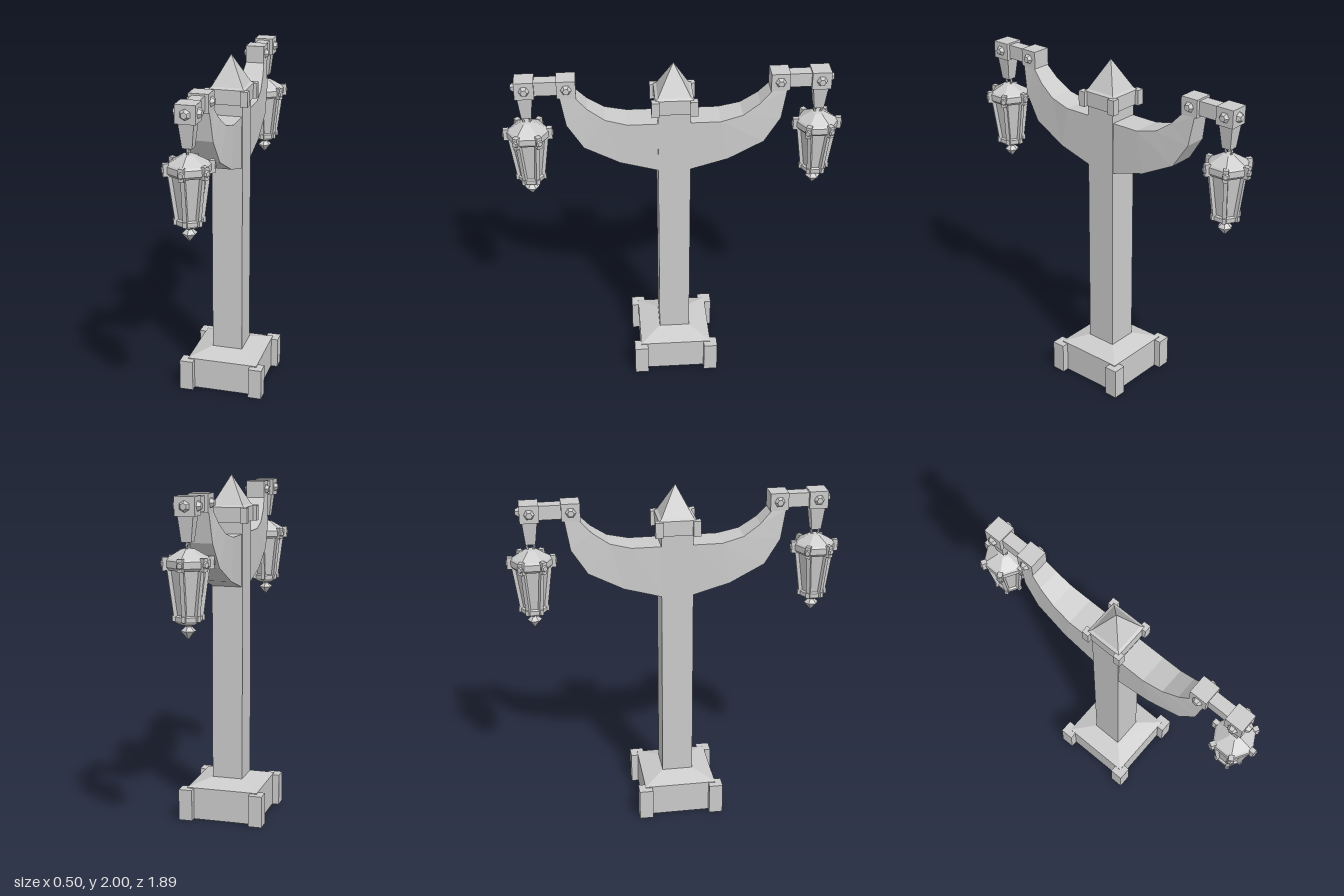
import * as THREE from 'three';

const grey = new THREE.MeshStandardMaterial({ color: 0xcccccc, flatShading: true });

function add(parent, name, geometry, x = 0, y = 0, z = 0) {
  const mesh = new THREE.Mesh(geometry, grey);
  mesh.name = name;
  mesh.position.set(x, y, z);
  parent.add(mesh);
  return mesh;
}

const box = (w, h, d) => new THREE.BoxGeometry(w, h, d);

// Faceted solid of revolution; points run from the bottom up
const turned = (points, sides, start = 0) =>
  new THREE.LatheGeometry(points.map(([r, y]) => new THREE.Vector2(r, y)), sides, start);

// Square solid whose radii are half-widths
const square = (points) =>
  turned(points.map(([r, y]) => [r * Math.SQRT2, y]), 4, Math.PI / 4);

// Four blocks at the corners of a square
function corners(parent, name, size, height, offset, y) {
  for (const sx of [-1, 1])
    for (const sz of [-1, 1])
      add(parent, name, box(size, height, size), sx * offset, y, sz * offset);
}

// Curved arms: rectangular sections running from the back tip to the front tip
function armGeometry() {
  // [inner z, inner y, outer z, outer y, half-width]
  const half = [
    [0.09, 1.67, 0.09, 1.37, 0.085],
    [0.254, 1.67, 0.3, 1.43, 0.085],
    [0.376, 1.7, 0.497, 1.53, 0.076],
    [0.47, 1.765, 0.587, 1.67, 0.065],
    [0.535, 1.835, 0.615, 1.835, 0.054],
  ];
  const mirrored = half.map(([a, b, c, d, w]) => [-a, b, -c, d, w]).reverse();
  const sections = [...mirrored, ...half];
  const pos = [], index = [];
  sections.forEach(([zi, yi, zo, yo, w], s) => {
    pos.push(w, yi, zi, -w, yi, zi, -w, yo, zo, w, yo, zo);
    if (s === 0) return;
    for (let i = 0; i < 4; i++) {
      const j = (i + 1) % 4, a = (s - 1) * 4, b = s * 4;
      index.push(a + i, a + j, b + j, a + i, b + j, b + i);
    }
  });
  const g = new THREE.BufferGeometry();
  g.setAttribute('position', new THREE.Float32BufferAttribute(pos, 3));
  g.setIndex(index);
  const flat = g.toNonIndexed();
  flat.computeVertexNormals();
  return flat;
}

// Hexagonal bolt head lying along x
function bolt(parent, side, y, z) {
  const g = new THREE.CylinderGeometry(0.018, 0.031, 0.022, 6);
  add(parent, 'bolt', g, side * 0.064, y, z).rotation.z = -side * Math.PI / 2;
}

// Hexagonal lantern hanging on the y axis
function makeLantern() {
  const lantern = new THREE.Group();
  lantern.name = 'lantern';
  add(lantern, 'lanternRoof', turned(
    [[0, 1.56], [0.108, 1.56], [0.122, 1.575], [0.122, 1.61], [0.112, 1.62], [0.035, 1.665], [0, 1.67]], 6));
  add(lantern, 'lanternPanes', turned([[0.063, 1.31], [0.097, 1.57]], 6));
  add(lantern, 'lanternFloor', turned(
    [[0, 1.275], [0.04, 1.275], [0.07, 1.29], [0.077, 1.3], [0.077, 1.32], [0.06, 1.33], [0, 1.33]], 6));
  add(lantern, 'lanternFinial', turned(
    [[0, 1.195], [0.042, 1.243], [0.018, 1.265], [0.03, 1.28], [0, 1.282]], 6));

  // Frame bar, eave knob and foot at each corner
  for (let i = 0; i < 6; i++) {
    const corner = new THREE.Group();
    corner.name = 'lanternCorner';
    corner.rotation.y = i * Math.PI / 3;
    lantern.add(corner);
    add(corner, 'frameBar', box(0.022, 0.265, 0.02), 0, 1.44, 0.084).rotation.x = Math.atan2(0.035, 0.26);
    add(corner, 'eaveKnob', box(0.028, 0.068, 0.03), 0, 1.593, 0.12);
    add(corner, 'knobFace', new THREE.CylinderGeometry(0.014, 0.022, 0.008, 6), 0, 1.593, 0.137)
      .rotation.x = Math.PI / 2;
    add(corner, 'lanternFoot', box(0.022, 0.03, 0.022), 0, 1.312, 0.074);
  }
  return lantern;
}

// Brackets, bolts, hanger and lantern at the tip of one arm
function makeArmEnd() {
  const end = new THREE.Group();
  end.name = 'armEnd';
  const y = 1.882;
  add(end, 'armBlock', box(0.11, 0.1, 0.103), 0, y, 0.578);
  add(end, 'crossBar', box(0.07, 0.08, 0.16), 0, y, 0.69);
  add(end, 'hangerBlock', box(0.11, 0.1, 0.106), 0, y, 0.802);
  for (const side of [-1, 1]) {
    bolt(end, side, y, 0.578);
    bolt(end, side, y, 0.802);
  }
  add(end, 'endBolt', new THREE.CylinderGeometry(0.018, 0.031, 0.022, 6), 0, y, 0.865).rotation.x = Math.PI / 2;
  add(end, 'hanger', square([[0, 1.7], [0.027, 1.7], [0.042, 1.835]]), 0, 0, 0.802);
  add(end, 'hangerRing', new THREE.TorusGeometry(0.022, 0.007, 5, 8), 0, 1.682, 0.802).rotation.y = Math.PI / 2;
  const lantern = makeLantern();
  lantern.position.z = 0.802;
  end.add(lantern);
  return end;
}

export function createModel() {
  const model = new THREE.Group();
  model.name = 'lampPost';

  // Plinth with a recess beneath
  add(model, 'plinth', square([[0, 0.1], [0.09, 0.1], [0.09, 0], [0.21, 0], [0.21, 0.19], [0.09, 0.23]]));
  corners(model, 'plinthCorner', 0.08, 0.185, 0.21, 0.0925);

  // Post, collar and pointed cap
  add(model, 'post', box(0.18, 1.6, 0.18), 0, 0.97, 0);
  add(model, 'collar', square([[0.08, 1.735], [0.105, 1.735], [0.105, 1.82], [0.09, 1.83], [0, 2]]));
  corners(model, 'collarCorner', 0.042, 0.088, 0.105, 1.777);

  // Arms and lanterns, front and back
  add(model, 'arms', armGeometry());
  const front = makeArmEnd();
  const back = makeArmEnd();
  back.rotation.y = Math.PI;
  model.add(front, back);
  return model;
}
